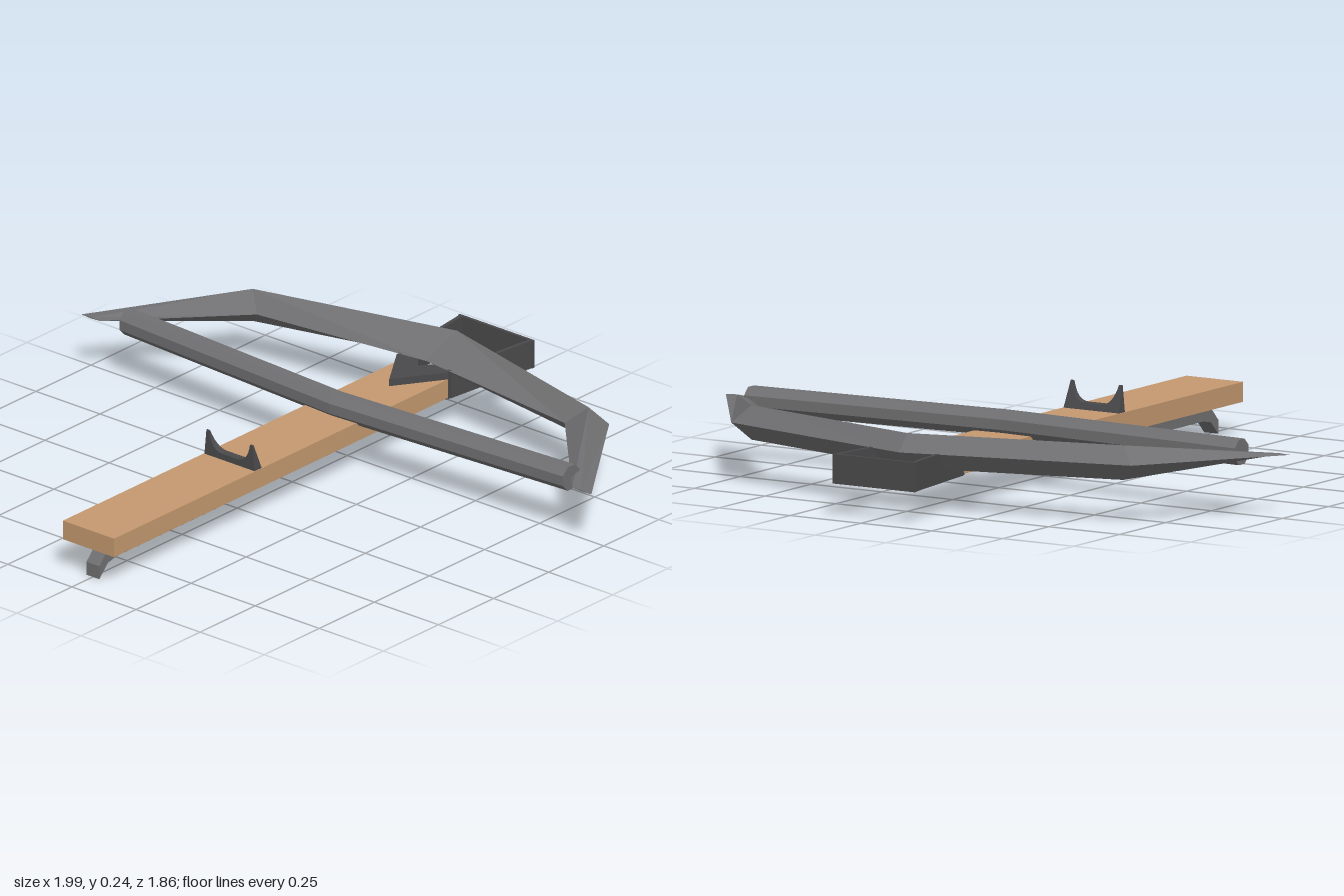
import * as THREE from 'three';

const paint = (name, color, extra = {}) =>
  Object.assign(new THREE.MeshStandardMaterial({ color, flatShading: true, ...extra }), { name });

// Skin a list of equal-sized rings with flat quads and closed ends
function loft(rings) {
  const pos = [];
  const tri = (...pts) => pts.forEach((p) => pos.push(...p));
  const n = rings[0].length;
  for (let i = 0; i < rings.length - 1; i++) {
    for (let j = 0; j < n; j++) {
      const k = (j + 1) % n;
      const a = rings[i][j], b = rings[i + 1][j], c = rings[i + 1][k], d = rings[i][k];
      tri(a, d, c);
      tri(a, c, b);
    }
  }
  const first = rings[0], last = rings[rings.length - 1];
  for (let j = 1; j < n - 1; j++) {
    tri(first[0], first[j + 1], first[j]);
    tri(last[0], last[j], last[j + 1]);
  }
  const g = new THREE.BufferGeometry();
  g.setAttribute('position', new THREE.Float32BufferAttribute(pos, 3));
  g.computeVertexNormals();
  return g;
}

const polygon = (pts) => new THREE.Shape(pts.map(([x, y]) => new THREE.Vector2(x, y)));
const extrude = (shape, depth) =>
  new THREE.ExtrudeGeometry(shape, { depth, bevelEnabled: false, curveSegments: 8 });

// Outline in plan (x, z), raised from y0 to y1
const planSolid = (pts, y0, y1) =>
  extrude(polygon(pts.map(([x, z]) => [x, -z])), y1 - y0).rotateX(-Math.PI / 2).translate(0, y0, 0);

export function createModel() {
  const group = new THREE.Group();
  const wood = paint('wood', 0xc4986f);
  const steel = paint('steel', 0x707072);
  const darkSteel = paint('darkSteel', 0x4a4a4c);
  const add = (name, geometry, material) => {
    const mesh = new THREE.Mesh(geometry, material);
    mesh.name = name;
    group.add(mesh);
    return mesh;
  };

  // Wooden stock
  add('stock', new THREE.BoxGeometry(0.2, 0.06, 1.535).translate(0, 0.13, 0.1575), wood);

  // Bow: diamond sections (outer edge, top ridge, inner edge, bottom ridge)
  const mid = 0.183;
  const diamond = (s, outer, ridge, inner, h) => [
    [s * outer[0], mid, outer[1]],
    [s * ridge[0], mid + h, ridge[1]],
    [s * inner[0], mid, inner[1]],
    [s * ridge[0], mid - h, ridge[1]],
  ];
  const tip = (s) => diamond(s, [0.995, -0.2], [0.955, -0.2], [0.92, -0.2], 0.002);
  const bend = (s) => diamond(s, [0.705, -0.618], [0.655, -0.583], [0.6, -0.538], 0.052);
  const centre = diamond(1, [0, -0.793], [0, -0.748], [0, -0.61], 0.052);
  add('bow', loft([tip(-1), bend(-1), centre, bend(1), tip(1)]), steel);

  // Thick eight-sided bowstring, drawn slightly back at the middle
  const octagon = (x, z) => Array.from({ length: 8 }, (_, i) => {
    const a = (i + 0.5) * Math.PI / 4;
    return [x, 0.186 + 0.041 * Math.sin(a), z - 0.041 * Math.cos(a)];
  });
  add('bowstring', loft([octagon(-0.855, -0.248), octagon(0.01, -0.196), octagon(0.875, -0.248)]), steel);

  // Foot stirrup: two splayed side plates and a cross plate
  for (const s of [-1, 1]) {
    const pts = [[0.09, -0.6], [0.103, -0.6], [0.142, -0.925], [0.13, -0.925]];
    add(s > 0 ? 'leftStirrupPlate' : 'rightStirrupPlate',
      planSolid(pts.map(([x, z]) => [s * x, z]), 0.096, 0.185), darkSteel);
  }
  add('stirrupCrossPlate', new THREE.BoxGeometry(0.29, 0.089, 0.01).translate(0, 0.1405, -0.925), darkSteel);

  // V-shaped bracket clamping the bow to the stock
  add('bowBracket', planSolid([
    [0.1, -0.61], [0.1, -0.59], [0, -0.44], [-0.1, -0.59], [-0.1, -0.61],
    [-0.035, -0.61], [0, -0.57], [0.035, -0.61],
  ], 0.096, 0.183), darkSteel);

  // Rear sight: U-notched wedge, upright towards the butt and sloping ahead
  const notch = polygon([[-0.098, 0.158], [0.098, 0.158], [0.09, 0.24], [0.08, 0.24]]);
  notch.quadraticCurveTo(0.07, 0.18, 0.03, 0.18);
  notch.lineTo(-0.03, 0.18);
  notch.quadraticCurveTo(-0.07, 0.18, -0.08, 0.24);
  notch.lineTo(-0.09, 0.24);
  const sight = extrude(notch, 1);
  const p = sight.attributes.position;
  for (let i = 0; i < p.count; i++) {
    const depth = 0.033 - 0.028 * (p.getY(i) - 0.158) / 0.082;
    p.setZ(i, 0.285 - depth * (1 - p.getZ(i)));
  }
  sight.computeVertexNormals();
  add('rearSight', sight, darkSteel);

  // Long trigger lever under the stock, profile in (z, y)
  const lever = polygon([
    [0.905, 0], [0.905, 0.042], [0.87, 0.078], [0.825, 0.088], [0.335, 0.088], [0.315, 0.102],
    [0.285, 0.102], [0.287, 0.08], [0.335, 0.048], [0.825, 0.048], [0.865, 0.04],
  ].reverse());
  add('triggerLever', extrude(lever, 0.05).rotateY(-Math.PI / 2).translate(0.025, 0, 0), steel);

  return group;
}
